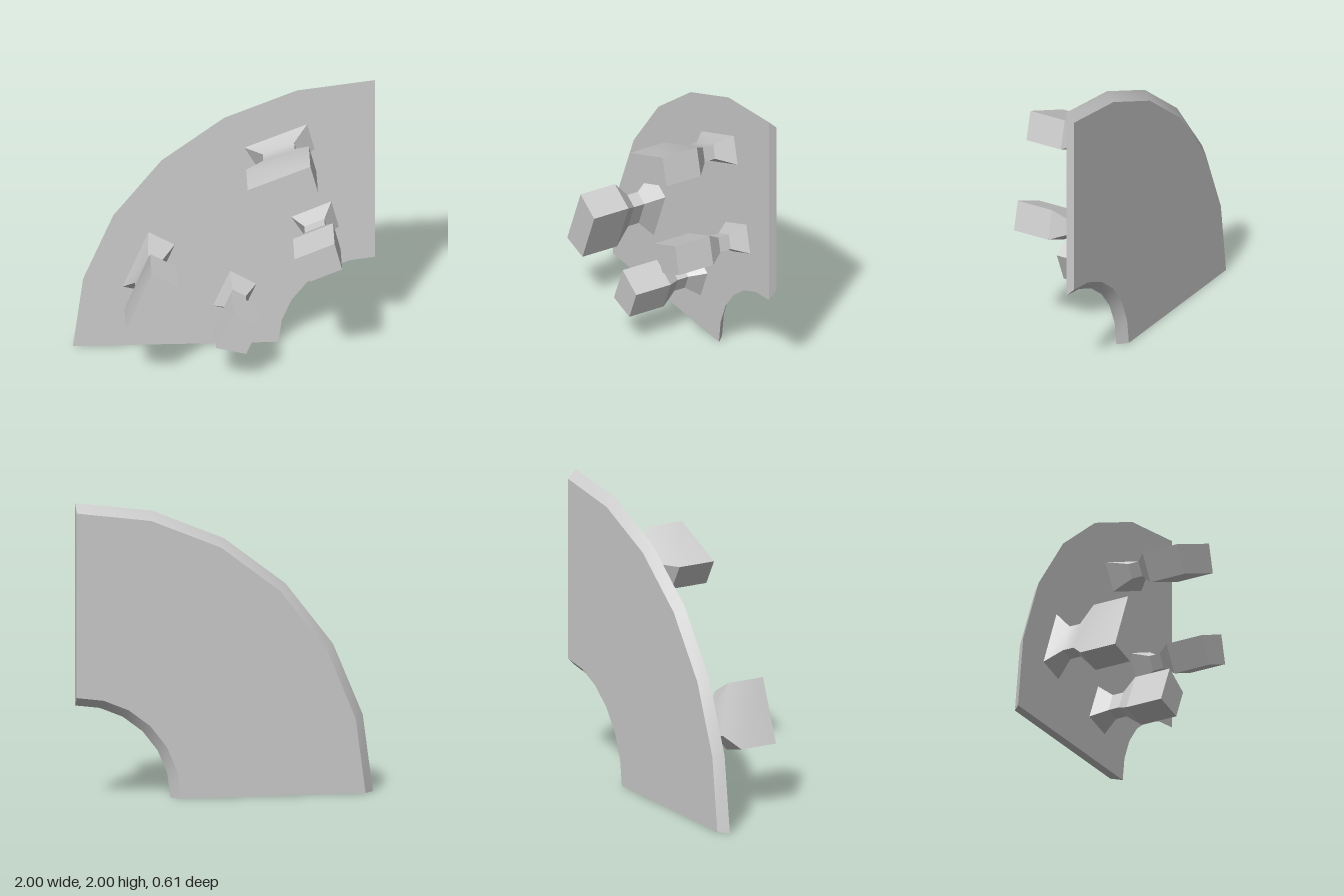
import * as THREE from 'three';
import { toCreasedNormals } from 'three/addons/utils/BufferGeometryUtils.js';

// Solid through matching counter-clockwise outlines, listed from front to back
function loft(sections) {
  const pos = [];
  const point = ({ outline, z }, i) => [outline[i][0], outline[i][1], z];
  const tri = (...corners) => corners.forEach((c) => pos.push(...c));
  const n = sections[0].outline.length;
  for (let s = 0; s < sections.length - 1; s++) {
    for (let i = 0; i < n; i++) {
      const j = (i + 1) % n;
      const a = point(sections[s], i), b = point(sections[s + 1], i);
      const c = point(sections[s + 1], j), d = point(sections[s], j);
      tri(a, b, c);
      tri(a, c, d);
    }
  }
  const front = sections[0], back = sections[sections.length - 1];
  const contour = front.outline.map(([x, y]) => new THREE.Vector2(x, y));
  for (const [a, b, c] of THREE.ShapeUtils.triangulateShape(contour, [])) {
    tri(point(front, a), point(front, b), point(front, c));
    tri(point(back, c), point(back, b), point(back, a));
  }
  const geometry = new THREE.BufferGeometry();
  geometry.setAttribute('position', new THREE.Float32BufferAttribute(pos, 3));
  return toCreasedNormals(geometry, 0.4);
}

// Quarter ring centred on the lower right corner
function quarterRing(outer, inner, steps = 6) {
  const points = [];
  const add = (r, i) => {
    const a = Math.PI / 2 * (1 + i / steps);
    points.push([1 + r * Math.cos(a), r * Math.sin(a)]);
  };
  for (let i = 0; i <= steps; i++) add(outer, i);
  for (let i = steps; i >= 0; i--) add(inner, i);
  return points;
}

// Block with a waist pinched to half size between its head and its foot
function block(outline, [cx, cy]) {
  const waist = outline.map(([x, y]) => [(x + cx) / 2, (y + cy) / 2]);
  return loft([
    { outline, z: 0.305 },
    { outline, z: 0.04 },
    { outline: waist, z: -0.06 },
    { outline: waist, z: -0.14 },
    { outline, z: -0.245 },
  ]);
}

export function createModel() {
  const group = new THREE.Group();
  const material = new THREE.MeshStandardMaterial({ color: 0xcccccc });
  const add = (name, geometry) => {
    const mesh = new THREE.Mesh(geometry, material);
    mesh.name = name;
    group.add(mesh);
  };

  // Backing plate with bevelled curved edges
  add('backingPlate', loft([
    { outline: quarterRing(2, 0.64), z: -0.245 },
    { outline: quarterRing(1.94, 0.7), z: -0.305 },
  ]));

  // Outer and inner blocks, mirrored across the plate's diagonal
  const mirror = ([x, y]) => [1 - y, 1 - x];
  const blocks = {
    outerBlock: {
      outline: [[0.135, 1.5], [0.235, 1.325], [0.6, 1.475], [0.55, 1.67]],
      center: [0.37, 1.515],
    },
    innerBlock: {
      outline: [[0.445, 0.96], [0.55, 0.787], [0.76, 0.875], [0.71, 1.073]],
      center: [0.61, 0.933],
    },
  };
  for (const [name, { outline, center }] of Object.entries(blocks)) {
    add(name + 'Upper', block(outline, center));
    add(name + 'Lower', block(outline.map(mirror).reverse(), mirror(center)));
  }
  return group;
}
